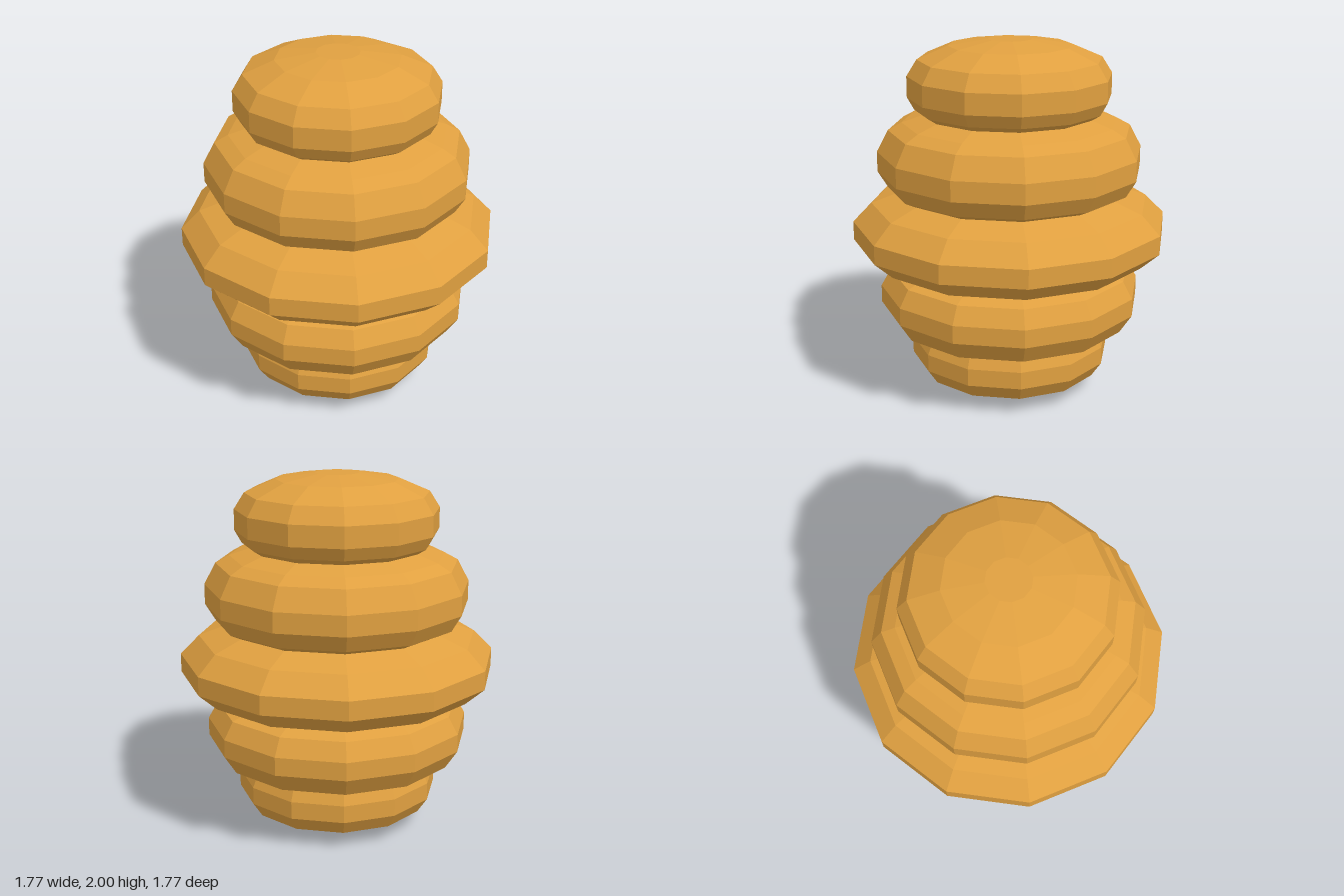
import * as THREE from 'three';

// Stacked rings as [radius, height] profiles, bottom to top
const RINGS = {
  baseRing: [[0, 0], [0.12, 0], [0.34, 0.033], [0.51, 0.095], [0.567, 0.18], [0.567, 0.278], [0.53, 0.364]],
  lowerRing: [[0.53, 0.364], [0.67, 0.392], [0.74, 0.499], [0.74, 0.6], [0.685, 0.695], [0.6, 0.727]],
  middleRing: [[0.6, 0.727], [0.777, 0.785], [0.885, 0.882], [0.885, 0.987], [0.78, 1.093], [0.62, 1.152]],
  upperRing: [[0.62, 1.152], [0.685, 1.183], [0.74, 1.275], [0.74, 1.387], [0.676, 1.507], [0.6, 1.549], [0.48, 1.588]],
  crownRing: [[0.48, 1.588], [0.528, 1.618], [0.567, 1.688], [0.567, 1.804], [0.51, 1.894], [0.34, 1.967], [0.12, 2], [0, 2]],
};

export function createModel() {
  const hive = new THREE.Group();
  hive.name = 'hive';

  const honey = new THREE.MeshStandardMaterial({ color: 0xe0a040, flatShading: true });
  honey.name = 'honey';

  // Each ring is a twelve-sided lathe with faceted sides
  for (const [name, profile] of Object.entries(RINGS)) {
    const points = profile.map(([r, y]) => new THREE.Vector2(r, y));
    const ring = new THREE.Mesh(new THREE.LatheGeometry(points, 12), honey);
    ring.name = name;
    hive.add(ring);
  }
  return hive;
}
